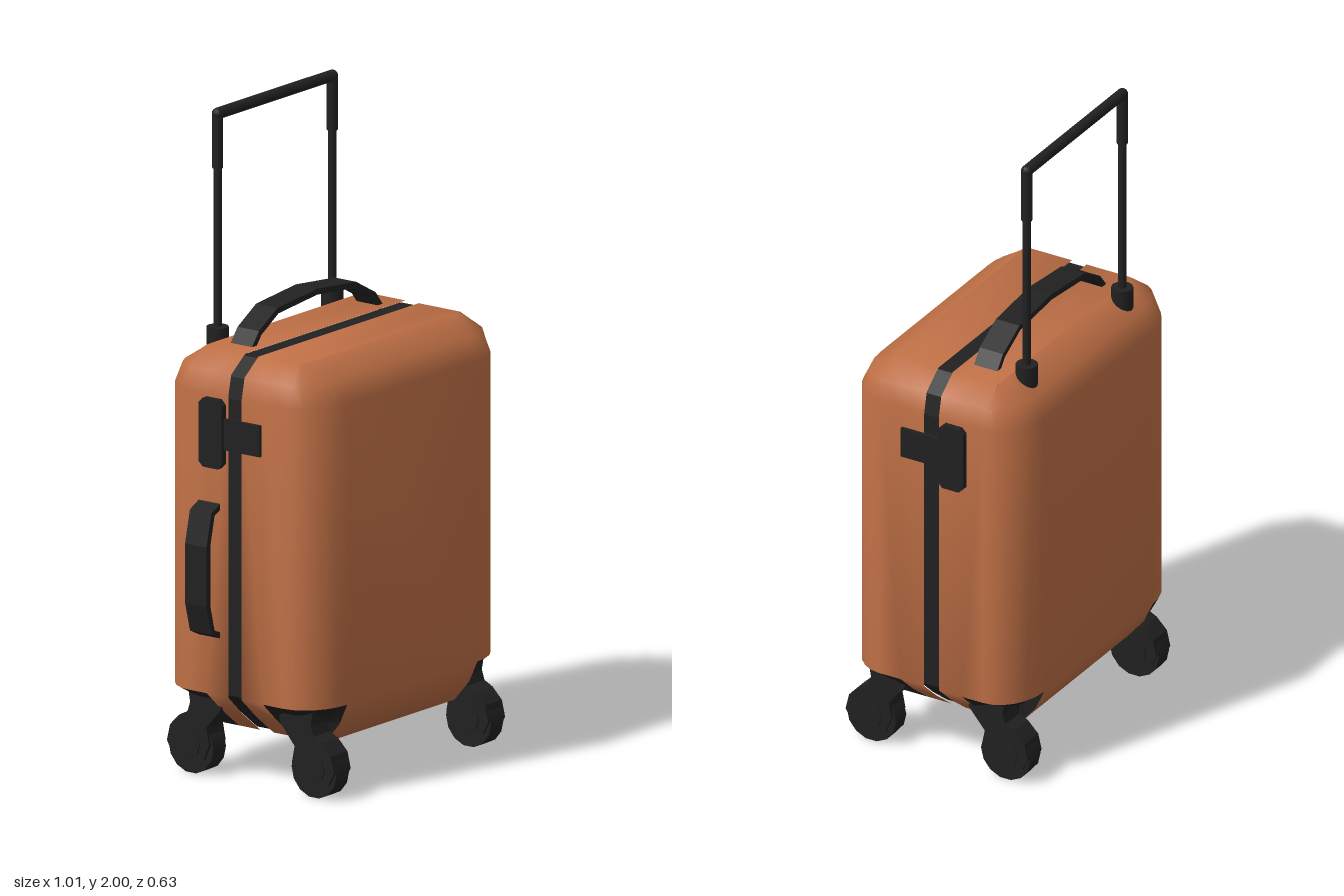
import * as THREE from 'three';
import { toCreasedNormals } from 'three/addons/utils/BufferGeometryUtils.js';

const CX = 0.022;      // middle of the case in x
const HALF = 0.4625;   // half width of the case
// Case levels from bottom to top: height, inset at the sides, inset at the face
const ROWS = [
  [0.145, 0.1525, 0.085], [0.21, 0.07, 0.03], [0.275, 0, 0],
  [1.19, 0, 0], [1.255, 0.014, 0.032], [1.305, 0.08, 0.115],
];

export function createModel() {
  const shellColour = new THREE.MeshStandardMaterial({ color: 0xbe6f45 });
  shellColour.name = 'copper shell';
  const black = new THREE.MeshStandardMaterial({ color: 0x212122 });
  black.name = 'black trim';

  const model = new THREE.Group();
  model.name = 'suitcase';
  const add = (name, geometry, material, x = 0, y = 0, z = 0, parent = model) => {
    const mesh = new THREE.Mesh(geometry, material);
    mesh.name = name;
    mesh.position.set(x, y, z);
    parent.add(mesh);
    return mesh;
  };

  // Half shells: rounded outlines stacked in y; low corners are dark wheel pockets
  const ARC = 6;
  function shell(name, sign, seamZ, depth) {
    const faces = { shell: [], pocket: [] };
    const rings = ROWS.map(([y, ix, iz], row) => {
      const w = HALF - ix, r = [[w, 0], [w, 0.08]];
      const flatX = 0.31, flatZ = depth - 0.12;
      for (let i = 0; i <= ARC; i++) {
        const a = (i / ARC) * Math.PI / 2;
        let px = flatX + (w - flatX) * Math.cos(a);
        let pz = flatZ + (depth - iz - flatZ) * Math.sin(a);
        if (row === 1 && i < ARC) {          // hollow out the pocket
          px += (0.3 - px) * 0.45;
          pz += (0.13 - pz) * 0.45;
        }
        r.push([px, pz]);
      }
      const point = (s) => ([px, pz]) => [CX + s * px, y, seamZ + sign * pz];
      return [...r.map(point(1)), ...r.map(point(-1)).reverse()];
    });
    const quad = (list, a, b, c, d) => {
      if (sign < 0) [b, d] = [d, b];
      list.push(...a, ...b, ...c, ...a, ...c, ...d);
    };
    const n = rings[0].length, half = n / 2;
    for (let k = 0; k < rings.length - 1; k++) {
      for (let i = 0; i < n - 1; i++) {
        const j = Math.min(i, n - 2 - i);    // same column on the mirrored side
        const list = k < 2 && j >= 1 && j < half - 1 ? faces.pocket : faces.shell;
        quad(list, rings[k][i], rings[k + 1][i], rings[k + 1][i + 1], rings[k][i + 1]);
      }
    }
    const top = rings[rings.length - 1], low = rings[0];
    for (let i = 0; i < half - 1; i++) {
      quad(faces.shell, top[i], top[n - 1 - i], top[n - 2 - i], top[i + 1]);
      quad(faces.shell, low[i], low[i + 1], low[n - 2 - i], low[n - 1 - i]);
    }
    for (const [part, list] of Object.entries(faces)) {
      const g = new THREE.BufferGeometry();
      g.setAttribute('position', new THREE.Float32BufferAttribute(list, 3));
      add(part === 'shell' ? name : name + 'WheelPockets', toCreasedNormals(g, 1.0),
        part === 'shell' ? shellColour : black);
    }
  }
  shell('frontShell', 1, 0.01, 0.275);
  shell('backShell', -1, -0.04, 0.27);

  // Extrudes a side outline centred on its depth
  const slab = (points, depth) => {
    const shape = new THREE.Shape(points.map(([x, y]) => new THREE.Vector2(x, y)));
    return new THREE.ExtrudeGeometry(shape, { depth, bevelEnabled: false })
      .translate(0, 0, -depth / 2);
  };

  // Zip seam between the two shells
  const seam = ROWS.map(([y, ix]) => [(HALF - ix) * 0.988, 0.725 + (y - 0.725) * 0.988]);
  add('zipSeam', slab([...seam, ...seam.map(([x, y]) => [-x, y]).reverse()], 0.08),
    black, CX, 0, -0.015);

  // Carry handles: flat bands along a bent path
  const band = (path, t, width) => {
    const side = (s) => path.map(([x, y], i) => {
      const a = path[Math.max(i - 1, 0)], b = path[Math.min(i + 1, path.length - 1)];
      const dx = b[0] - a[0], dy = b[1] - a[1], l = Math.hypot(dx, dy);
      return [x - s * t * dy / l, y + s * t * dx / l];
    });
    return slab([...side(0.5), ...side(-0.5).reverse()], width);
  };
  add('topHandle', band([[-0.285, 1.295], [-0.25, 1.34], [-0.165, 1.39], [0.022, 1.408],
    [0.205, 1.39], [0.295, 1.34], [0.33, 1.295]], 0.018, 0.08), black, 0, 0, -0.11);
  add('sideHandle', band([[-0.43, 0.455], [-0.475, 0.475], [-0.497, 0.56], [-0.497, 0.74],
    [-0.475, 0.835], [-0.43, 0.855]], 0.018, 0.08), black, 0, 0, -0.11);

  // Latches on both sides
  for (const s of [1, -1]) {
    const c = 0.015, w = 0.043, h = 0.105;
    const plate = slab([[-w + c, -h], [w - c, -h], [w, -h + c], [w, h - c],
      [w - c, h], [-w + c, h], [-w, h - c], [-w, -h + c]], 0.04).rotateY(Math.PI / 2);
    add('latchPlate', plate, black, CX + s * 0.463, 1.075, -0.092);
    add('latchClasp', new THREE.BoxGeometry(0.03, 0.095, 0.14), black,
      CX + s * 0.458, 1.077, 0.015);
  }

  // Telescopic pull handle
  const pull = new THREE.Group();
  pull.name = 'pullHandle';
  pull.position.set(CX, 0, -0.228);
  model.add(pull);
  const rod = (r, length) => new THREE.CylinderGeometry(r, r, length, 12);
  for (const s of [1, -1]) {
    const x = s * 0.273;
    add('pullHandleCollar', rod(0.033, 0.09), black, x, 1.29, 0, pull);
    add('pullHandleRod', rod(0.0125, 0.55), black, x, 1.56, 0, pull);
    add('pullHandleSleeve', rod(0.0165, 0.165), black, x, 1.9, 0, pull);
    add('pullHandleCorner', new THREE.SphereGeometry(0.0175, 12, 8), black, x, 1.9825, 0, pull);
  }
  add('pullHandleGrip', rod(0.0175, 0.546).rotateZ(Math.PI / 2), black, 0, 1.9825, 0, pull);

  // Casters: fork outline in (outward z, y), with a wheel held inside
  const fork = [[0.10, 0.27], [0.11, 0.215], [0.165, 0.15], [0.155, 0.10], [0.175, 0.05],
    [0.29, 0.05], [0.312, 0.09], [0.30, 0.14], [0.265, 0.175], [0.235, 0.19],
    [0.225, 0.22], [0.235, 0.275]];
  for (const sx of [1, -1]) {
    for (const sz of [1, -1]) {
      const caster = new THREE.Group();
      caster.name = 'caster';
      caster.position.x = CX + sx * 0.368;
      if (sz < 0) caster.rotation.y = Math.PI;
      model.add(caster);
      add('casterFork', slab(fork, 0.08).rotateY(-Math.PI / 2), black, 0, 0, 0, caster);
      const wheel = new THREE.CylinderGeometry(0.084, 0.084, 0.06, 14).rotateZ(Math.PI / 2);
      add('casterWheel', wheel, black, 0, 0.084, 0.23, caster);
      const hub = new THREE.CylinderGeometry(0.045, 0.045, 0.09, 10).rotateZ(Math.PI / 2);
      add('casterHub', hub, black, 0, 0.092, 0.233, caster);
    }
  }
  return model;
}
